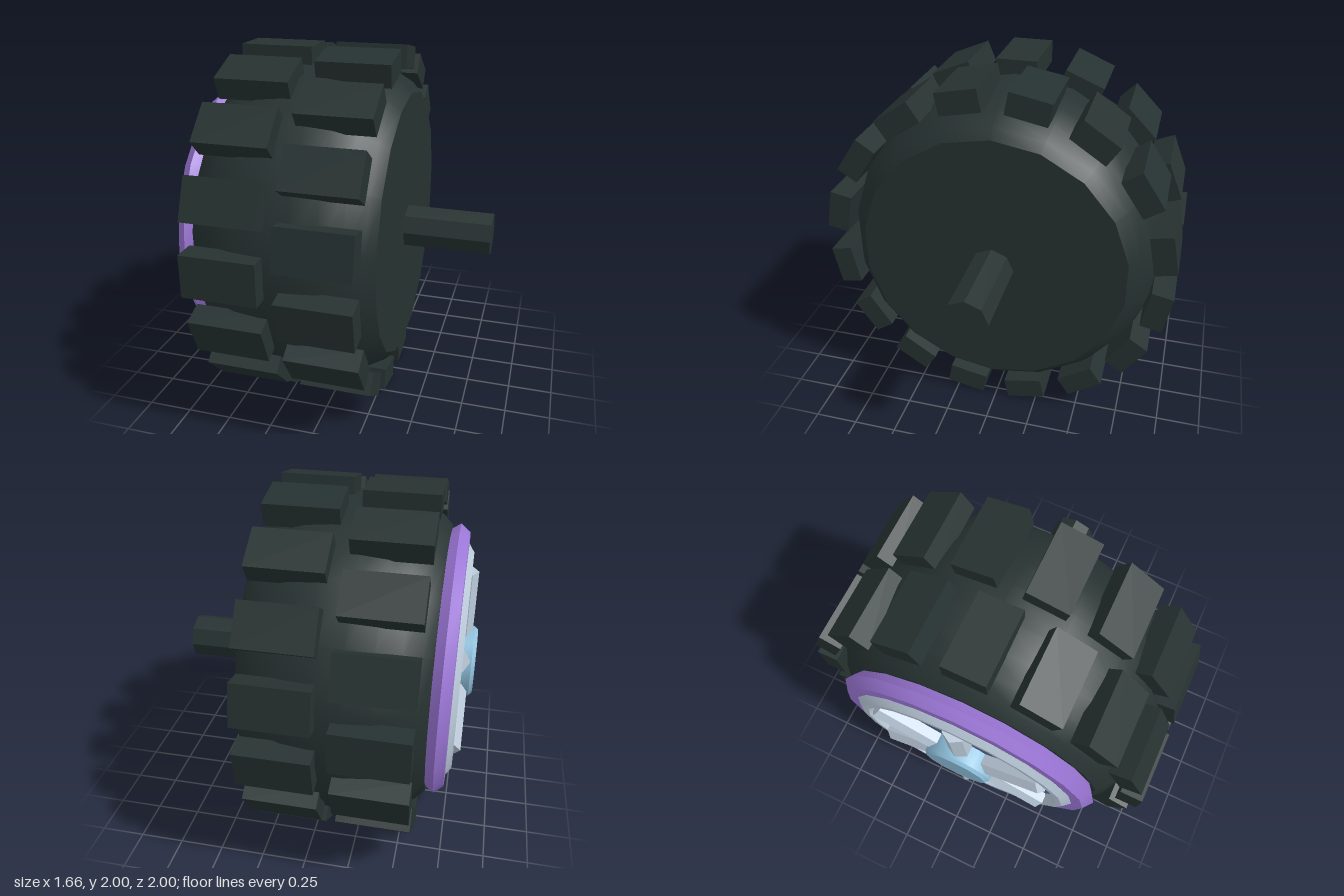
import * as THREE from 'three';
import { toCreasedNormals } from 'three/addons/utils/BufferGeometryUtils.js';

const mat = (name, color) => {
  const m = new THREE.MeshStandardMaterial({ color });
  m.name = name;
  return m;
};

export function createModel() {
  const rubber = mat('dark rubber', 0x263231);
  const purple = mat('purple trim', 0x9b76d6);
  const silver = mat('pale silver', 0xbccbdb);
  const blue = mat('light blue', 0x8fc0dd);
  const navy = mat('slate blue', 0x52678f);

  const model = new THREE.Group();
  model.name = 'wheel';
  const wheel = new THREE.Group();
  wheel.name = 'wheelAssembly';
  wheel.position.y = 1;
  model.add(wheel);

  const add = (name, geometry, material, parent = wheel) => {
    const mesh = new THREE.Mesh(geometry, material);
    mesh.name = name;
    parent.add(mesh);
    return mesh;
  };

  // Turned part around the x axis; profile is [x, radius], from +x to -x
  const turned = (profile, sides, crease = 0.5) => {
    const points = profile.map(([x, r]) => new THREE.Vector2(r, -x));
    const g = new THREE.LatheGeometry(points, sides, Math.PI / 2);
    g.rotateZ(Math.PI / 2);
    return toCreasedNormals(g, crease);
  };

  // Tyre body with rounded shoulders
  add('tyre', turned([
    [0.345, 0], [0.345, 0.757], [0.295, 0.81], [0.2, 0.865], [0.08, 0.905], [-0.06, 0.922],
    [-0.23, 0.922], [-0.37, 0.905], [-0.49, 0.865], [-0.585, 0.81], [-0.635, 0.757], [-0.635, 0],
  ], 18), rubber);

  // Two staggered rows of tread blocks
  const block = new THREE.BoxGeometry(0.402, 0.125, 0.23);
  [[-0.385, 0], [0.096, 0.5]].forEach(([x, offset], row) => {
    const tread = new THREE.Group();
    tread.name = row ? 'innerTread' : 'outerTread';
    wheel.add(tread);
    for (let i = 0; i < 16; i++) {
      const a = ((i + offset) / 16) * Math.PI * 2;
      const r = 0.936;
      const mesh = add('treadBlock', block, rubber, tread);
      mesh.position.set(x, r * Math.cos(a), r * Math.sin(a));
      mesh.rotation.x = a;
    }
  });

  // Axle
  add('axle', turned([[0.83, 0], [0.83, 0.124], [0.33, 0.124], [0.33, 0]], 8), rubber)
    .position.y = -0.016;

  // Bevelled trim ring
  add('trimRing', turned([
    [-0.63, 0.735], [-0.682, 0.768], [-0.735, 0.725], [-0.738, 0.64], [-0.63, 0.62],
  ], 20, 0.4), purple);

  // Rim ring with an open centre
  add('rimRing', turned([
    [-0.7, 0.667], [-0.738, 0.66], [-0.768, 0.615], [-0.768, 0.58], [-0.7, 0.55],
  ], 20, 0.4), silver);

  // Recessed disc behind the spokes
  add('rimDisc', turned([[-0.62, 0.6], [-0.715, 0.6], [-0.715, 0]], 20), navy);

  // Six spokes, each a six-sided bar with an edge facing outward
  const spoke = toCreasedNormals(
    new THREE.CylinderGeometry(0.065, 0.065, 0.57, 6).rotateY(Math.PI / 2), 0.5);
  for (let i = 0; i < 6; i++) {
    const a = (i / 6) * Math.PI * 2;
    const mesh = add('spoke', spoke, silver);
    mesh.position.set(-0.74, 0.27 * Math.cos(a), 0.27 * Math.sin(a));
    mesh.rotation.x = a;
  }

  // Hub cap
  add('hubCap', turned([
    [-0.7, 0.2], [-0.815, 0.2], [-0.835, 0.182], [-0.835, 0],
  ], 12, 0.6), blue);

  return model;
}
